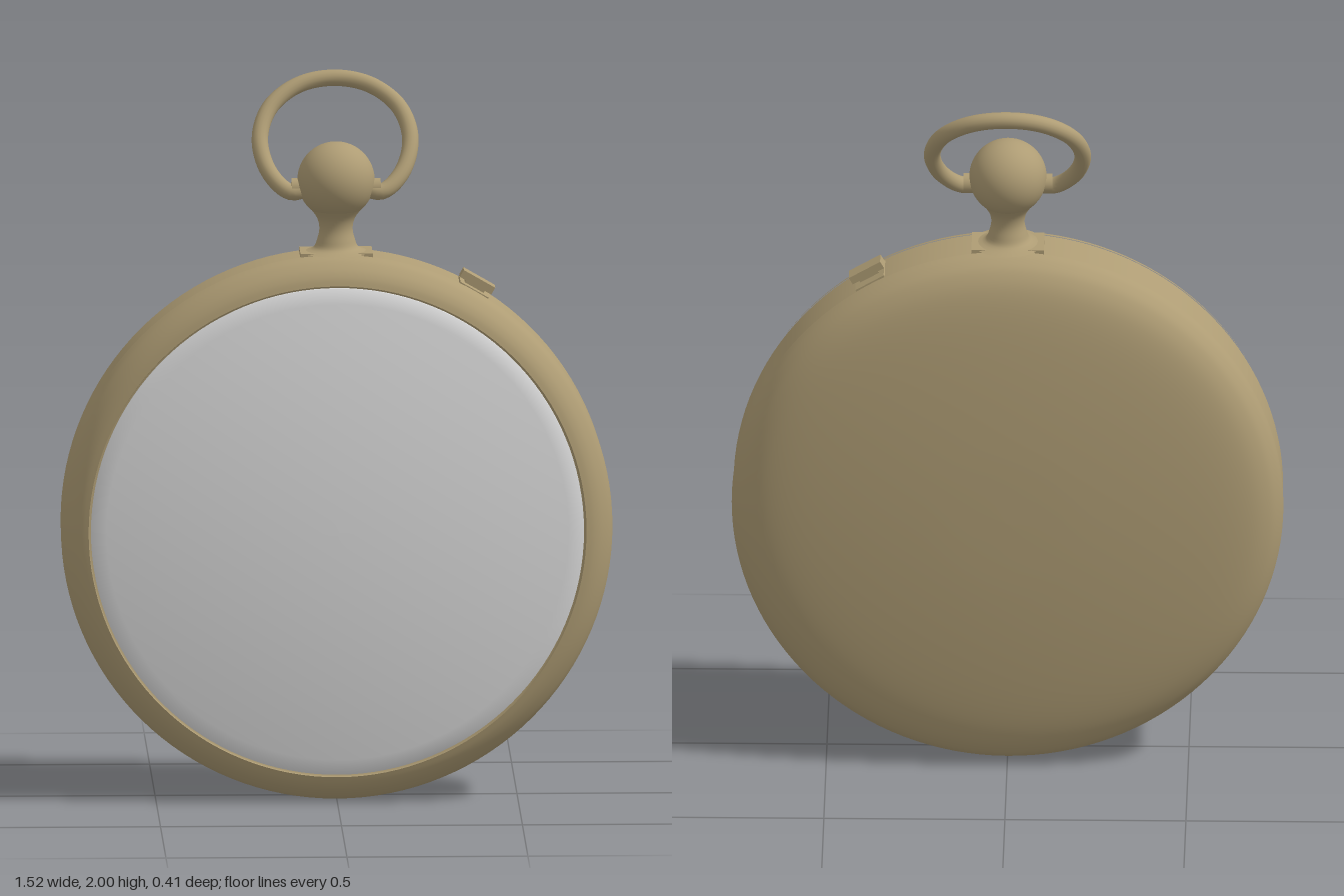
import * as THREE from 'three';

const CENTRE_Y = 0.763, RADIUS = 0.762;

export function createModel() {
  const model = new THREE.Group();
  const brass = new THREE.MeshStandardMaterial({ color: 0xae9c74 });
  const white = new THREE.MeshStandardMaterial({ color: 0xdedede });
  brass.name = 'brass';
  white.name = 'white crystal';

  const add = (name, geometry, material, parent = model) => {
    const mesh = new THREE.Mesh(geometry, material);
    mesh.name = name;
    parent.add(mesh);
    return mesh;
  };
  const lathe = (points, segments = 128) =>
    new THREE.LatheGeometry(points.map(([r, h]) => new THREE.Vector2(r, h)), segments);
  const smooth = (points, count) =>
    new THREE.SplineCurve(points.map(([r, h]) => new THREE.Vector2(r, h)))
      .getPoints(count).map(p => [Math.max(p.x, 0), p.y]);

  // Case: turned profiles running from back to front along z
  const watchCase = new THREE.Group();
  watchCase.name = 'case';
  watchCase.position.y = CENTRE_Y;
  watchCase.rotation.x = Math.PI / 2;
  model.add(watchCase);

  add('backCover', lathe(smooth([[0, -0.204], [0.2, -0.201], [0.4, -0.19], [0.57, -0.173],
    [0.67, -0.153], [0.725, -0.125], [0.752, -0.092], [RADIUS, -0.065]], 36)), brass, watchCase);
  add('middleBand', lathe([[0.759, -0.068], [0.759, 0.068]]), brass, watchCase);
  add('bezel', lathe(smooth([[RADIUS, 0.065], [0.753, 0.095], [0.732, 0.122],
    [0.71, 0.138], [0.688, 0.146]], 20)), brass, watchCase);
  add('bezelGroove', lathe([[0.688, 0.146], [0.685, 0.13], [0.66, 0.13]]), brass, watchCase);

  // Domed crystal
  const dome = [[0.681, 0.13]];
  for (let i = 0; i <= 16; i++) {
    const r = 0.681 * (1 - i / 16);
    dome.push([r, 0.2 - 0.054 * (r / 0.681) ** 2]);
  }
  add('crystal', lathe(dome), white, watchCase);

  // Pendant: seat, flared neck and ball
  add('neckSeat', new THREE.BoxGeometry(0.2, 0.02, 0.12), brass).position.y = 1.518;
  add('neck', lathe(smooth([[0.1, 1.524], [0.064, 1.535], [0.052, 1.56],
    [0.046, 1.59], [0.053, 1.62], [0.075, 1.65]], 20), 40), brass);
  add('ball', new THREE.SphereGeometry(0.107, 48, 32), brass).position.y = 1.724;

  // Bow: oval ring leaning backwards, pivoting in the ball
  const half = [[0.07, 1.705], [0.125, 1.693], [0.182, 1.74], [0.208, 1.825],
    [0.178, 1.905], [0.1, 1.96]];
  const lean = ([x, y]) => new THREE.Vector3(x, y, -(y - 1.71) * 0.7);
  const path = new THREE.CatmullRomCurve3([
    ...half.map(lean), lean([0, 1.978]),
    ...half.slice().reverse().map(([x, y]) => lean([-x, y])),
  ]);
  add('bow', new THREE.TubeGeometry(path, 96, 0.023, 16), brass);
  for (const side of [-1, 1]) {
    const pivot = add('bowPivot', new THREE.CylinderGeometry(0.028, 0.028, 0.05, 20), brass);
    pivot.rotation.z = Math.PI / 2;
    pivot.position.set(side * 0.098, 1.702, 0.003);
  }

  // Push button on the upper left of the rim
  const button = new THREE.Group();
  button.name = 'pushButton';
  button.position.y = CENTRE_Y;
  button.rotation.z = -Math.PI / 6;
  model.add(button);
  add('buttonPlate', new THREE.BoxGeometry(0.09, 0.02, 0.11), brass, button).position.y = 0.753;
  add('buttonStem', new THREE.BoxGeometry(0.06, 0.03, 0.04), brass, button).position.y = 0.765;
  add('buttonCap', new THREE.BoxGeometry(0.1, 0.022, 0.05), brass, button).position.y = 0.781;

  return model;
}
